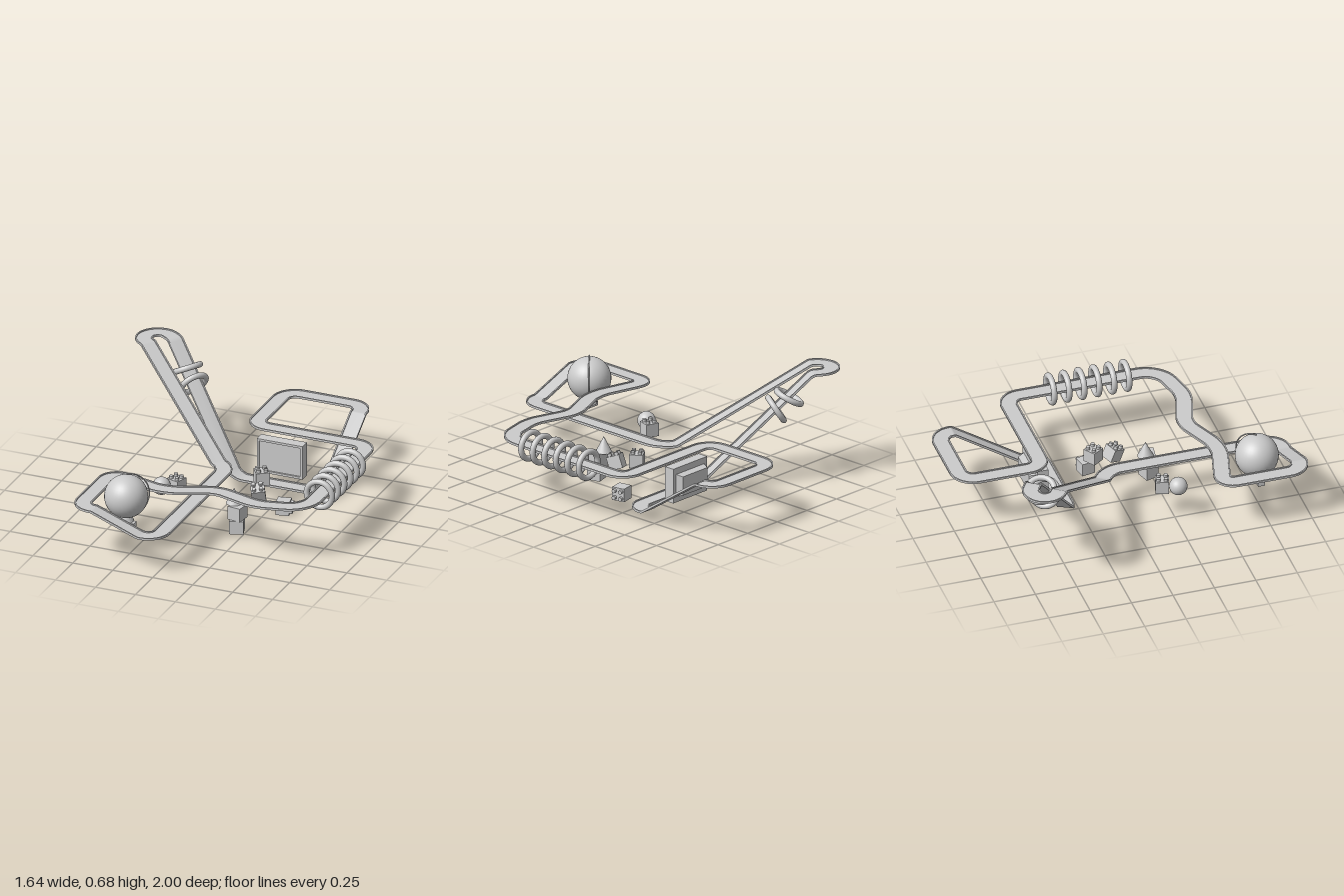
import * as THREE from 'three';
import { toCreasedNormals } from 'three/addons/utils/BufferGeometryUtils.js';

const V = (x, y, z) => new THREE.Vector3(x, y, z);
const smooth = new THREE.MeshStandardMaterial({ color: 0xcccccc });
const flat = new THREE.MeshStandardMaterial({ color: 0xcccccc, flatShading: true });

function add(parent, name, geometry, x, y, z, material = flat) {
  const mesh = new THREE.Mesh(geometry, material);
  mesh.name = name;
  mesh.position.set(x, y, z);
  parent.add(mesh);
  return mesh;
}

// Closed route: x, y, z and rounding length of each corner
const ROUTE = [
  [0, 0.23, -0.076, 0.07], [0, 0.23, 0.95, 0.085], [-0.1, 0.23, 0.95, 0.01],
  [-0.39, 0.342, 0.95, 0.004], [-0.485, 0.342, 0.95, 0.085], [-0.485, 0.342, 0.465, 0.085],
  [-0.12, 0.342, 0.56, 0.09], [0.165, 0.342, 0.44, 0.06], [0.44, 0.342, 0.525, 0.06],
  [0.725, 0.342, 0.46, 0.12], [0.725, 0.342, -0.465, 0.085], [0, 0.342, -0.465, 0.085],
  [0, 0.342, -0.95, 0.09], [0.49, 0.342, -0.95, 0.085], [0.49, 0.342, -0.85, 0.01],
  [0.49, 0.06, -0.43, 0.008], [0.49, 0.06, -0.335, 0.085], [-0.055, 0.06, -0.335, 0.06],
  [-0.6, 0.672, -0.712, 0.02], [-0.709, 0.672, -0.786, 0.08], [-0.801, 0.672, -0.656, 0.08],
  [-0.715, 0.672, -0.594, 0.008], [-0.075, 0.23, -0.13, 0.01],
];

// Points along the route with rounded corners
function routePoints() {
  const pts = [], n = ROUTE.length;
  const at = (i) => V(...ROUTE[(i + n) % n].slice(0, 3));
  for (let i = 0; i < n; i++) {
    const p = at(i), r = ROUTE[i][3];
    const a = at(i - 1).sub(p).normalize(), b = at(i + 1).sub(p).normalize();
    const on = (d, k) => p.clone().addScaledVector(d, r * k);
    const bend = new THREE.CubicBezierCurve3(on(a, 1), on(a, 0.45), on(b, 0.45), on(b, 1));
    const steps = r < 0.03 ? 3 : 10;
    for (const q of bend.getPoints(steps)) {
      if (!pts.length || q.distanceTo(pts[pts.length - 1]) > 0.003) pts.push(q);
    }
  }
  return pts;
}

// Sweeps a rimmed lane section, kept level sideways, round the closed route
function trackGeometry() {
  const section = [[-0.05, -0.006], [0.05, -0.006], [0.05, 0.007], [0.042, 0.007],
    [0.042, 0], [-0.042, 0], [-0.042, 0.007], [-0.05, 0.007]];
  const pts = routePoints(), n = pts.length, m = section.length;
  const pos = [], idx = [];
  for (let i = 0; i < n; i++) {
    const into = pts[i].clone().sub(pts[(i + n - 1) % n]).normalize();
    const out = pts[(i + 1) % n].clone().sub(pts[i]).normalize();
    const t = into.add(out).normalize();
    const side = t.clone().cross(V(0, 1, 0)).normalize();
    const up = side.clone().cross(t);
    section.forEach(([s, u], j) => {
      pos.push(...pts[i].clone().addScaledVector(side, s).addScaledVector(up, u).toArray());
      const a = i * m + j, b = i * m + (j + 1) % m;
      const c = ((i + 1) % n) * m + j, d = ((i + 1) % n) * m + (j + 1) % m;
      idx.push(a, c, b, b, c, d);
    });
  }
  const g = new THREE.BufferGeometry();
  g.setAttribute('position', new THREE.Float32BufferAttribute(pos, 3));
  g.setIndex(idx);
  return toCreasedNormals(g, 0.6);
}

// Toy brick: a cube with 2 x 2 studs on top
function brick(parent, x, y, z, rx, ry, rz) {
  const g = new THREE.Group();
  g.name = 'studdedBrick';
  add(g, 'brickBody', new THREE.BoxGeometry(0.08, 0.08, 0.08), 0, 0, 0);
  for (const sx of [-1, 1]) for (const sz of [-1, 1]) {
    add(g, 'brickStud', toCreasedNormals(new THREE.CylinderGeometry(0.012, 0.012, 0.018, 14), 0.7),
      sx * 0.021, 0.048, sz * 0.021, smooth);
  }
  g.position.set(x, y, z);
  g.rotation.set(rx, ry, rz, 'YXZ');
  parent.add(g);
}

function ring(parent, x, y, z, axis) {
  const mesh = add(parent, 'trackRing', new THREE.TorusGeometry(0.079, 0.0175, 14, 40), x, y, z, smooth);
  mesh.quaternion.setFromUnitVectors(V(0, 0, 1), axis.normalize());
}

function globe() {
  const g = new THREE.Group();
  g.name = 'globe';
  add(g, 'globeBall', new THREE.SphereGeometry(0.127, 32, 24), 0, 0, 0, smooth);
  // Half-circle bracket from the lower to the upper pole
  const arm = add(g, 'globeBracket', new THREE.TorusGeometry(0.14, 0.004, 8, 32, Math.PI), 0, 0, 0, smooth);
  arm.rotation.set(0, 0.72, -Math.PI / 2, 'YXZ');
  add(g, 'globeCollar', new THREE.CylinderGeometry(0.035, 0.045, 0.03, 20), 0, -0.138, 0);
  add(g, 'globeFoot', new THREE.BoxGeometry(0.12, 0.028, 0.042), 0, -0.167, 0.01);
  g.position.set(-0.28, 0.352, 0.735);
  return g;
}

// Boxy screen with a bezel in front and a tapered back
function screen() {
  const g = new THREE.Group();
  g.name = 'screen';
  const w = 0.285, h = 0.21, e = 0.014;
  add(g, 'screenCase', new THREE.BoxGeometry(w, h, 0.055), 0, 0, -0.005);
  for (const s of [-1, 1]) {
    add(g, 'bezelSide', new THREE.BoxGeometry(e, h, 0.012), s * (w - e) / 2, 0, 0.027);
    add(g, 'bezelRail', new THREE.BoxGeometry(w - 2 * e, e, 0.012), 0, s * (h - e) / 2, 0.027);
  }
  const back = new THREE.CylinderGeometry(Math.SQRT1_2, 0.82, 0.04, 4);
  back.rotateY(Math.PI / 4).rotateX(-Math.PI / 2).scale(0.205, 0.115, 1);
  add(g, 'screenBack', back, 0, 0, -0.052);
  g.position.set(0.182, 0.175, -0.453);
  return g;
}

export function createModel() {
  const model = new THREE.Group();
  model.name = 'toyTrack';
  add(model, 'track', trackGeometry(), 0, 0, 0, smooth);

  // Rings over the straight and the steep ramp
  for (let i = 0; i < 6; i++) ring(model, 0.725, 0.345, -0.19 + i * 0.0905, V(0, 0, 1));
  ring(model, -0.49, 0.535, -0.635, V(-0.42, 0.86, -0.25));
  ring(model, -0.43, 0.467, -0.59, V(-0.69, 0.54, -0.48));

  model.add(globe(), screen());

  // Tower of two cubes and a cone
  const cube = () => new THREE.BoxGeometry(0.082, 0.082, 0.082);
  add(model, 'lowerCube', cube(), 0.198, 0.041, 0.235).rotation.y = 0.3;
  add(model, 'upperCube', cube(), 0.198, 0.123, 0.228).rotation.y = -0.15;
  add(model, 'cone', toCreasedNormals(new THREE.ConeGeometry(0.047, 0.095, 24), 0.7), 0.167, 0.212, 0.206, smooth);

  // Loose bricks and ball
  brick(model, 0.345, 0.043, -0.1, 0, 0.2, -Math.PI / 2);
  brick(model, 0.21, 0.207, -0.095, 0, 0.6, 0);
  brick(model, 0.245, 0.17, 0.035, 0.35, 0.5, 0.15);
  brick(model, -0.2, 0.207, 0.19, 0, -0.3, 0);
  add(model, 'ball', new THREE.SphereGeometry(0.053, 24, 16), -0.26, 0.22, 0.268, smooth);
  return model;
}
